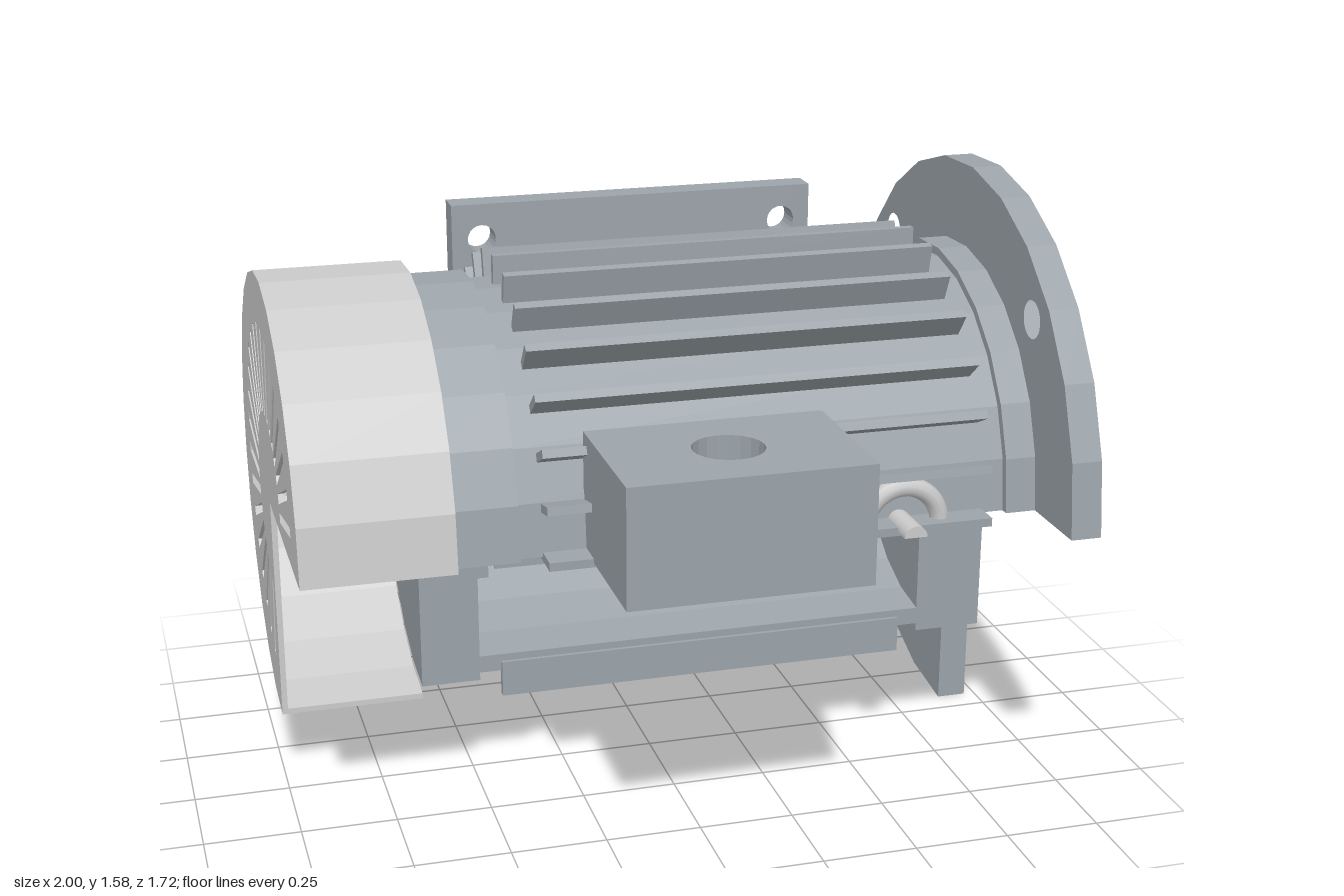
import * as THREE from 'three';
import { mergeGeometries } from 'three/addons/utils/BufferGeometryUtils.js';

const SWEEP = Math.PI * 1.5; // a quarter of the motor is cut away
const SIDES = 19;
const AXIS_Y = 0.8, AXIS_Z = -0.07;

const paint = new THREE.MeshStandardMaterial({ color: 0x9ca4aa, flatShading: true });
const grey = new THREE.MeshStandardMaterial({ color: 0xcccccc, flatShading: true });
const steel = new THREE.MeshStandardMaterial({ color: 0xcccccc });

function add(parent, name, geometry, material) {
  const mesh = new THREE.Mesh(geometry, material);
  mesh.name = name;
  parent.add(mesh);
  return mesh;
}

// Three-quarter turned solid about the x axis; profile is [radius, x], anticlockwise
function turned(profile) {
  const closed = [...profile, profile[0]].map(([r, a]) => new THREE.Vector2(r, a));
  const skin = new THREE.LatheGeometry(closed, SIDES, Math.PI / 2, SWEEP).rotateZ(-Math.PI / 2);
  const face = (s) => new THREE.ShapeGeometry(
    new THREE.Shape(profile.map(([r, a]) => new THREE.Vector2(a, s * r))));
  return mergeGeometries([skin, face(-1), face(1).rotateX(Math.PI / 2)]);
}

const tube = (inner, outer, x0, x1) => turned([[inner, x0], [outer, x0], [outer, x1], [inner, x1]]);

// Point at angle t, measured from the front (+z) over the top
const polar = (r, t) => new THREE.Vector2(-r * Math.cos(t), r * Math.sin(t));

// Three-quarter flat plate across the axis, with holes
function disc(inner, outer, x0, x1, holes) {
  const points = [];
  for (let i = 0; i <= SIDES; i++) points.push(polar(outer, SWEEP * i / SIDES));
  if (inner > 0) for (let i = SIDES; i >= 0; i--) points.push(polar(inner, SWEEP * i / SIDES));
  else points.push(new THREE.Vector2(0, 0));
  const shape = new THREE.Shape(points);
  shape.holes.push(...holes);
  return new THREE.ExtrudeGeometry(shape, { depth: x1 - x0, bevelEnabled: false })
    .rotateY(Math.PI / 2).translate(x0, 0, 0);
}

const roundHole = (x, y, r) => new THREE.Path().absarc(x, y, r, 0, Math.PI * 2, true);

function slot(t, r0, r1, width) {
  const side = polar(width / 2, t + Math.PI / 2);
  const a = polar(r0, t), b = polar(r1, t);
  return new THREE.Path([a.clone().add(side), b.clone().add(side), b.clone().sub(side), a.clone().sub(side)]);
}

// Rectangular block with round holes through its thickness
function drilledBlock(w, h, depth, holes) {
  const shape = new THREE.Shape([[-w, -h], [w, -h], [w, h], [-w, h]]
    .map(([x, y]) => new THREE.Vector2(x / 2, y / 2)));
  shape.holes.push(...holes);
  return new THREE.ExtrudeGeometry(shape, { depth, bevelEnabled: false, curveSegments: 10 });
}

export function createModel() {
  const model = new THREE.Group();
  model.name = 'cutawayMotor';
  const motor = new THREE.Group();
  motor.name = 'turnedParts';
  motor.position.set(0, AXIS_Y, AXIS_Z);
  model.add(motor);

  // Hollow housing and its radial cooling ribs
  add(motor, 'housing', tube(0.5, 0.548, -0.46, 0.81), paint);
  const ribs = new THREE.Group();
  ribs.name = 'coolingRibs';
  motor.add(ribs);
  for (let i = 0; i <= 21; i++) {
    const t = i * Math.PI / 14;
    if (Math.abs(t - Math.PI) < 0.6) continue; // clear of the mounting pad
    const geometry = new THREE.BoxGeometry(1.15, 0.022, 0.1).translate(0.175, 0, 0.57).rotateX(-t);
    add(ribs, 'rib', geometry, paint);
  }

  // End bells with stepped hubs and a chamfered shaft bore
  add(motor, 'rearBell', turned([
    [0.1, -0.62], [0.57, -0.62], [0.57, -0.46], [0.27, -0.46], [0.27, -0.43], [0.1, -0.43],
  ]), paint);
  add(motor, 'frontBell', turned([
    [0.095, 0.78], [0.27, 0.78], [0.27, 0.81], [0.57, 0.81], [0.57, 1], [0.11, 1], [0.095, 0.985],
  ]), paint);

  // Mounting flange with bolt holes
  const boltHoles = [1, 3, 5].map((k) => {
    const p = polar(0.686, k * Math.PI / 4);
    return roundHole(p.x, p.y, 0.05);
  });
  add(motor, 'flange', disc(0.54, 0.79, 0.89, 0.97, boltHoles), paint);

  // Fan cover: thin shell and slotted end
  add(motor, 'fanCover', tube(0.59, 0.605, -0.985, -0.62), grey);
  const slots = [];
  for (let i = 1; i < 24; i++) slots.push(slot(i * SWEEP / 24, 0.24, 0.47, 0.026));
  add(motor, 'fanCoverGrille', disc(0, 0.605, -1, -0.985, slots), grey);

  // Rear mounting plate and the pad that joins it to the housing
  const corners = [];
  for (const sx of [-1, 1]) for (const sy of [-1, 1]) corners.push(roundHole(sx * 0.44, sy * 0.52, 0.04));
  add(model, 'mountingPlate', drilledBlock(1.05, 1.24, 0.08, corners), paint).position.set(0.125, 0.8, -0.71);
  add(model, 'mountingPad', new THREE.BoxGeometry(0.95, 0.78, 0.24), paint).position.set(0.125, 0.8, -0.51);

  // Terminal box with a cable hole
  add(model, 'terminalBox', drilledBlock(0.61, 0.41, 0.305, [roundHole(0, 0, 0.09)]).rotateX(-Math.PI / 2), paint)
    .position.set(0.015, 0.8, 0.655);

  // Lifting eye, halved by the cut
  const eye = new THREE.Group();
  eye.name = 'liftingEye';
  eye.position.set(0.525, 0.8, 0.5);
  model.add(eye);
  add(eye, 'ring', new THREE.TorusGeometry(0.1, 0.025, 10, 20, Math.PI), steel);
  for (const s of [-1, 1]) {
    add(eye, 'ringEnd', new THREE.CircleGeometry(0.025, 10).rotateX(Math.PI / 2), steel).position.x = s * 0.1;
  }
  const stem = new THREE.CylinderGeometry(0.03, 0.03, 0.15, 12, 1, false, Math.PI / 2, Math.PI)
    .rotateX(Math.PI / 2);
  add(eye, 'stem', stem, steel).position.z = 0.025;
  add(eye, 'stemFace', new THREE.PlaneGeometry(0.06, 0.15).rotateX(Math.PI / 2), steel).position.z = 0.025;

  return model;
}
